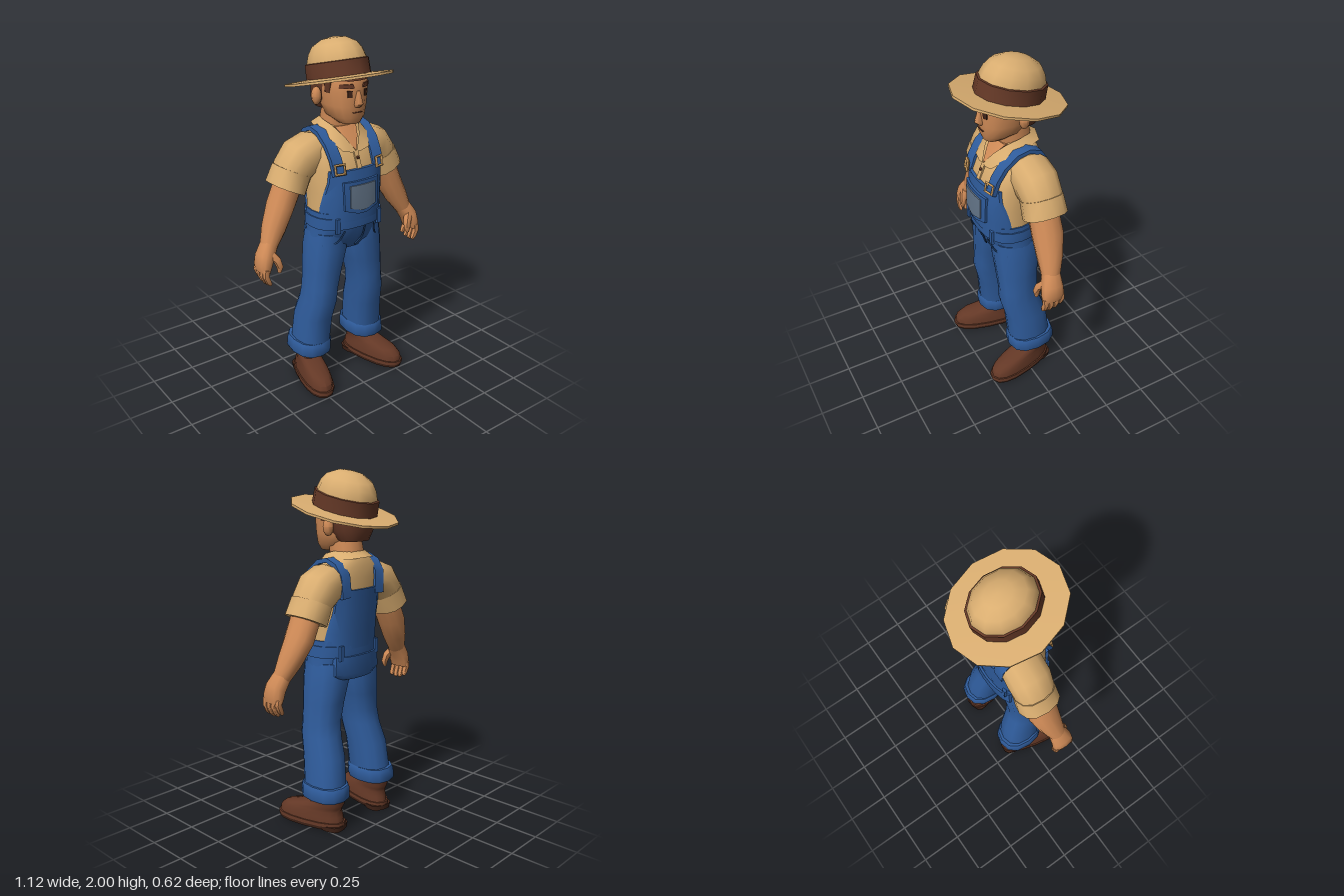
import * as THREE from 'three';
import { toCreasedNormals } from 'three/addons/utils/BufferGeometryUtils.js';

const V = (x, y, z) => new THREE.Vector3(x, y, z);
const paint = (name, color) => Object.assign(new THREE.MeshStandardMaterial({ color, side: THREE.DoubleSide }), { name });

function add(parent, name, geo, mat) {
  const m = new THREE.Mesh(toCreasedNormals(geo, 0.9), mat);
  m.name = name;
  parent.add(m);
  return m;
}

function build(pos, idx) {
  const g = new THREE.BufferGeometry();
  g.setAttribute('position', new THREE.Float32BufferAttribute(pos, 3));
  g.setIndex(idx);
  return g;
}

// Closed solid through rings [x, y, z, radiusA, radiusB]; flat rings are listed bottom up.
function loft(rings, { flat = false, ref = V(0, 0, 1), segs = 12, p = 2.4, phase = 0 } = {}) {
  const pos = [], idx = [], n = rings.length;
  const c = rings.map(r => V(r[0], r[1], r[2]));
  const pow = v => Math.sign(v) * Math.abs(v) ** (2 / p);
  rings.forEach((r, i) => {
    const t = flat ? V(0, 1, 0) : c[Math.min(i + 1, n - 1)].clone().sub(c[Math.max(i - 1, 0)]).normalize();
    const b = ref.clone().addScaledVector(t, -ref.dot(t)).normalize();
    const a = t.clone().cross(b);
    for (let k = 0; k < segs; k++) {
      const q = phase + k / segs * Math.PI * 2;
      pos.push(...c[i].clone().addScaledVector(a, r[3] * pow(Math.cos(q))).addScaledVector(b, r[4] * pow(Math.sin(q))));
    }
  });
  pos.push(...c[0], ...c[n - 1]);
  for (let k = 0; k < segs; k++) {
    const k1 = (k + 1) % segs, top = (n - 1) * segs;
    for (let i = 0; i < n - 1; i++) {
      const u = i * segs, w = u + segs;
      idx.push(u + k, w + k, u + k1, u + k1, w + k, w + k1);
    }
    idx.push(n * segs, k, k1, n * segs + 1, top + k1, top + k);
  }
  return build(pos, idx);
}

// Depth of a flat loft's front (side 1) or back (side -1) at x, y.
function surf(rings, x, y, side) {
  let i = 0;
  while (i < rings.length - 2 && y > rings[i + 1][1]) i++;
  const A = rings[i], B = rings[i + 1];
  const f = THREE.MathUtils.clamp((y - A[1]) / (B[1] - A[1]), 0, 1);
  const [, , cz, rx, rz] = A.map((v, k) => v + (B[k] - v) * f);
  return cz + side * rz * Math.max(0, 1 - Math.min(1, Math.abs(x) / rx) ** 2.4) ** (1 / 2.4);
}

// Cloth panel lying on a loft: rows [y, x0, x1, offset] bottom up, with edges turned in.
function panel(rings, side, rows, depth = 0.02, cols = 8) {
  const pos = [], idx = [], last = rows.length + 1, w = cols + 3;
  for (let j = 0; j <= last; j++) {
    const [y, x0, x1, off] = rows[THREE.MathUtils.clamp(j - 1, 0, rows.length - 1)];
    for (let k = 0; k < w; k++) {
      const x = x0 + (x1 - x0) * THREE.MathUtils.clamp((k - 1) / cols, 0, 1);
      const edge = j === 0 || j === last || k === 0 || k === w - 1;
      pos.push(x, y, surf(rings, x, y, side) + side * (off - (edge ? depth : 0)));
      if (j < last && k < w - 1) {
        const a = j * w + k, b = a + 1, c = a + w, d = c + 1;
        idx.push(...(side > 0 ? [a, b, d, a, d, c] : [a, d, b, a, c, d]));
      }
    }
  }
  return build(pos, idx);
}

const lathe = pts => new THREE.LatheGeometry(pts.map(([x, y]) => new THREE.Vector2(x, y)), 12);
const seam = pts => new THREE.TubeGeometry(new THREE.CatmullRomCurve3(pts), 8, 0.005, 4);

export function createModel() {
  const root = new THREE.Group();
  const blue = paint('denim blue', 0x2f5c9c), navy = paint('seam blue', 0x234777);
  const tan = paint('straw tan', 0xd9ad70), skin = paint('skin', 0xd08b57);
  const brown = paint('leather brown', 0x643826), dark = paint('dark brown', 0x3f2318);
  const patch = paint('faded denim', 0x66788c), brass = paint('brass', 0xc4965a);
  const flat = { flat: true };

  const torso = [[0, 1.03, 0.037, 0.208, 0.155], [0, 1.2, 0.035, 0.21, 0.163], [0, 1.33, 0.02, 0.217, 0.163],
    [0, 1.43, 0, 0.215, 0.14], [0, 1.49, -0.02, 0.182, 0.115], [0, 1.525, -0.03, 0.13, 0.095], [0, 1.56, -0.03, 0.085, 0.08]];
  const hips = [[0, 0.85, 0.03, 0.13, 0.1], [0, 0.9, 0.03, 0.225, 0.13], [0, 1, 0.036, 0.213, 0.157], [0, 1.09, 0.037, 0.216, 0.163]];
  const skull = [[0, 1.565, 0.085, 0.055, 0.065], [0, 1.6, 0.05, 0.09, 0.115], [0, 1.66, 0.033, 0.109, 0.135],
    [0, 1.74, 0.025, 0.117, 0.148], [0, 1.8, 0.017, 0.12, 0.15], [0, 1.86, 0.01, 0.1, 0.125]];

  // Torso and overalls
  add(root, 'shirt', loft(torso, { flat: true, segs: 20 }), tan);
  add(root, 'hips', loft(hips, { flat: true, segs: 20 }), blue);
  add(root, 'waistband', loft([[0, 0.995, 0.037, 0.222, 0.166], [0, 1.06, 0.037, 0.222, 0.168]], { flat: true, segs: 20 }), blue);
  add(root, 'bib', panel(torso, 1, [[1.04, -0.202, 0.202, 0.015], [1.12, -0.2, 0.2, 0.016], [1.2, -0.19, 0.19, 0.016],
    [1.27, -0.175, 0.175, 0.016], [1.33, -0.168, 0.168, 0.016]]), blue);
  add(root, 'backPanel', panel(torso, -1, [[1.04, -0.2, 0.2, 0.012], [1.13, -0.19, 0.19, 0.014], [1.25, -0.175, 0.175, 0.014],
    [1.37, -0.168, 0.168, 0.014]]), blue);
  add(root, 'bibPocket', panel(torso, 1, [[1.085, -0.03, 0.03, 0.03], [1.11, -0.11, 0.11, 0.03], [1.27, -0.115, 0.115, 0.03]]), blue);
  add(root, 'pocketPatch', panel(torso, 1, [[1.105, -0.015, 0.015, 0.036], [1.125, -0.083, 0.083, 0.036], [1.25, -0.083, 0.083, 0.036]], 0.007), patch);
  add(root, 'seatFlap', panel(hips, -1, [[0.868, -0.175, 0.175, 0.05], [0.9, -0.175, 0.175, 0.038], [1.0, -0.165, 0.165, 0.02]], 0.03), blue);
  add(root, 'flySeam', seam([[0.035, 0.99], [0.033, 0.92], [0, 0.87]].map(([x, y]) => V(x, y, surf(hips, x, y, 1) + 0.006))), navy);

  // Neck, open shirt front and collar
  add(root, 'neck', loft([[0, 1.47, -0.03, 0.088, 0.09], [0, 1.56, -0.018, 0.088, 0.093], [0, 1.65, 0, 0.085, 0.09]], flat), skin);
  add(root, 'openNeck', panel(torso, 1, [[1.425, -0.004, 0.004, 0.012], [1.49, -0.045, 0.045, 0.014], [1.54, -0.07, 0.07, 0.014]]), skin);
  add(root, 'shirtPlacket', panel(torso, 1, [[1.32, -0.014, 0.014, 0.01], [1.42, -0.014, 0.014, 0.01]], 0.01, 2), tan);
  add(root, 'shirtButton', new THREE.SphereGeometry(0.009, 8, 6), brown).position.set(0, 1.385, surf(torso, 0, 1.385, 1) + 0.012);
  const half = [[0, 1.57, -0.115, 0, 1.54, -0.158], [0.07, 1.57, -0.085, 0.1, 1.533, -0.125], [0.097, 1.57, -0.01, 0.138, 1.525, -0.02],
    [0.088, 1.55, 0.06, 0.128, 1.485, 0.09], [0.045, 1.49, 0.12, 0.088, 1.43, 0.155], [0.004, 1.42, 0.158, 0.03, 1.415, 0.162]];
  const ring = [...half.slice(1).reverse().map(h => h.map((v, i) => i % 3 ? v : -v)), ...half];
  const collarIdx = [];
  for (let i = 0; i < ring.length - 1; i++) collarIdx.push(2 * i, 2 * i + 2, 2 * i + 1, 2 * i + 1, 2 * i + 2, 2 * i + 3);
  add(root, 'collar', build(ring.flat(), collarIdx), tan);

  // Head
  add(root, 'head', loft(skull, { flat: true, segs: 16 }), skin);
  add(root, 'nose', loft([[0, 1.658, 0.165, 0.018, 0.015], [0, 1.675, 0.168, 0.024, 0.03], [0, 1.745, 0.165, 0.011, 0.014]], { flat: true, segs: 8 }), skin);
  add(root, 'mouth', panel(skull, 1, [[1.627, -0.028, 0.028, 0.004], [1.632, -0.03, 0.03, 0.004]], 0.006), brown);
  add(root, 'backHair', loft([[0, 1.625, -0.07, 0.088, 0.07], [0, 1.68, -0.058, 0.12, 0.1], [0, 1.76, -0.04, 0.127, 0.116],
    [0, 1.85, -0.03, 0.12, 0.12]], { flat: true, segs: 16 }), brown);
  add(root, 'fringe', loft([[0, 1.797, 0.018, 0.124, 0.156], [0, 1.85, 0.01, 0.115, 0.14]], { flat: true, segs: 16 }), brown);

  // Hat, tipped back
  const hat = new THREE.Group();
  hat.name = 'hat';
  hat.position.y = 1.79;
  hat.rotation.x = -0.23;
  root.add(hat);
  const hatParts = [
    ['hatBrim', [[0, -0.02], [0.318, -0.018], [0.318, -0.005], [0.18, 0.002], [0, 0.002]], tan, 0.885],
    ['hatCrown', [[0.188, -0.005], [0.182, 0.085], [0.166, 0.13], [0.138, 0.168], [0.075, 0.199], [0, 0.209]], tan, 0.83],
    ['hatBand', [[0.185, -0.005], [0.197, 0], [0.194, 0.08], [0.178, 0.084]], brown, 0.83]];
  for (const [name, pts, mat, sx] of hatParts) add(hat, name, lathe(pts), mat).scale.x = sx;

  // Paired parts, built on the left and mirrored
  for (const s of [1, -1]) {
    const side = new THREE.Group();
    side.name = s > 0 ? 'leftSide' : 'rightSide';
    side.scale.x = s;
    root.add(side);

    // Face
    const ear = add(side, 'ear', new THREE.SphereGeometry(1, 8, 6), skin);
    ear.scale.set(0.028, 0.05, 0.03);
    ear.position.set(0.138, 1.703, -0.012);
    add(side, 'eye', panel(skull, 1, [[1.712, 0.04, 0.06, 0.004], [1.748, 0.038, 0.062, 0.004]], 0.006, 2), dark);
    add(side, 'eyebrow', panel(skull, 1, [[1.76, 0.028, 0.094, 0.007], [1.782, 0.034, 0.09, 0.007]], 0.009, 4), brown);
    add(side, 'sideburn', loft([[0.108, 1.73, 0.05, 0.012, 0.02], [0.111, 1.81, 0.06, 0.016, 0.035]], flat), brown);

    // Strap over the shoulder with its buckle
    const at = (x, y, f) => [x, y, surf(torso, x, y, f) + f * 0.014, 0.017, 0.048];
    add(side, 'strap', loft([at(0.13, 1.31, 1), at(0.133, 1.39, 1), at(0.138, 1.46, 1), [0.14, 1.515, 0.035, 0.017, 0.048],
      [0.142, 1.53, -0.03, 0.017, 0.048], [0.14, 1.505, -0.09, 0.017, 0.048], at(0.137, 1.45, -1), at(0.13, 1.33, -1)],
    { ref: V(1, 0, 0), segs: 4, p: 2, phase: Math.PI / 4 }), blue);
    const buckle = add(side, 'buckle', new THREE.TorusGeometry(0.036, 0.009, 4, 4).rotateZ(Math.PI / 4), brass);
    buckle.position.set(0.13, 1.345, surf(torso, 0.13, 1.345, 1) + 0.035);
    buckle.rotation.set(-0.2, 0.3, 0);

    // Waist details
    for (const f of [1, -1]) {
      add(side, 'beltLoop', new THREE.BoxGeometry(0.026, 0.085, 0.016), blue)
        .position.set(0.14, 1.022, surf(hips, 0.14, 1.022, f) + f * 0.016);
    }
    add(side, 'pocketSeam', seam([[0.1, 0.985], [0.125, 0.925], [0.165, 0.895], [0.2, 0.9]]
      .map(([x, y]) => V(x, y, surf(hips, x, y, 1) + 0.014))), navy);

    // Arm
    add(side, 'sleeve', loft([[0.09, 1.405, -0.02, 0.085, 0.1], [0.17, 1.405, -0.025, 0.107, 0.118], [0.235, 1.375, -0.03, 0.113, 0.12],
      [0.285, 1.32, -0.033, 0.1, 0.112], [0.32, 1.25, -0.033, 0.093, 0.108]]), tan);
    add(side, 'sleeveCuff', loft([[0.288, 1.318, -0.033, 0.102, 0.114], [0.332, 1.225, -0.033, 0.104, 0.12]]), tan);
    add(side, 'arm', loft([[0.32, 1.25, -0.025, 0.075, 0.085], [0.375, 1.13, -0.026, 0.071, 0.088], [0.43, 1.02, -0.01, 0.064, 0.07],
      [0.477, 0.93, 0.008, 0.046, 0.05]], { p: 2.1 }), skin);
    add(side, 'palm', loft([[0.47, 0.945, 0.006, 0.046, 0.05], [0.508, 0.885, 0.018, 0.046, 0.062], [0.522, 0.84, 0.02, 0.038, 0.066],
      [0.525, 0.805, 0.02, 0.027, 0.06]]), skin);
    for (let i = 0; i < 4; i++) {
      const z = 0.068 - i * 0.032, drop = [0.005, 0, 0.003, 0.018][i];
      add(side, 'finger', loft([[0.527, 0.83, z, 0.019, 0.018], [0.533, 0.785 + drop, z, 0.018, 0.017],
        [0.518, 0.748 + drop, z, 0.016, 0.015], [0.505, 0.73 + drop, z, 0.009, 0.009]], { segs: 8 }), skin);
    }
    add(side, 'thumb', loft([[0.49, 0.905, 0.045, 0.026, 0.024], [0.462, 0.87, 0.07, 0.022, 0.022], [0.452, 0.83, 0.08, 0.018, 0.018],
      [0.456, 0.8, 0.08, 0.009, 0.01]], { segs: 8 }), skin);

    // Trouser leg
    add(side, 'trouserLeg', loft([[0.192, 0.2, -0.033, 0.1, 0.128], [0.179, 0.42, -0.01, 0.1, 0.125], [0.165, 0.54, 0.025, 0.096, 0.12],
      [0.156, 0.62, 0.03, 0.096, 0.113], [0.14, 0.73, 0.03, 0.104, 0.12], [0.119, 0.86, 0.028, 0.116, 0.132], [0.112, 0.96, 0.032, 0.105, 0.128]], flat), blue);
    add(side, 'trouserCuff', loft([[0.196, 0.183, -0.037, 0.11, 0.14], [0.196, 0.195, -0.037, 0.115, 0.145],
      [0.193, 0.25, -0.035, 0.114, 0.143], [0.193, 0.265, -0.035, 0.107, 0.136]], flat), blue);

    // Boot, toed out
    const boot = new THREE.Group();
    boot.name = 'boot';
    boot.position.x = 0.212;
    boot.rotation.y = 0.23;
    side.add(boot);
    add(boot, 'bootUpper', loft([[0, 0.035, 0.05, 0.08, 0.21], [0, 0.08, 0.05, 0.078, 0.203], [0, 0.11, 0.035, 0.07, 0.18],
      [0, 0.13, -0.01, 0.066, 0.14], [0, 0.15, -0.055, 0.066, 0.105], [0, 0.22, -0.06, 0.066, 0.1]], { flat: true, segs: 16 }), brown);
    add(boot, 'bootWelt', loft([[0, 0.028, 0.05, 0.088, 0.218], [0, 0.048, 0.05, 0.087, 0.217]], { flat: true, segs: 16 }), brown);
    add(boot, 'bootSole', loft([[0, 0.01, 0.05, 0.084, 0.212], [0, 0.03, 0.05, 0.087, 0.216]], { flat: true, segs: 16 }), dark);
    add(boot, 'bootHeel', loft([[0, 0, -0.095, 0.07, 0.07], [0, 0.03, -0.095, 0.075, 0.073]], { flat: true, p: 3 }), dark);
  }
  return root;
}
